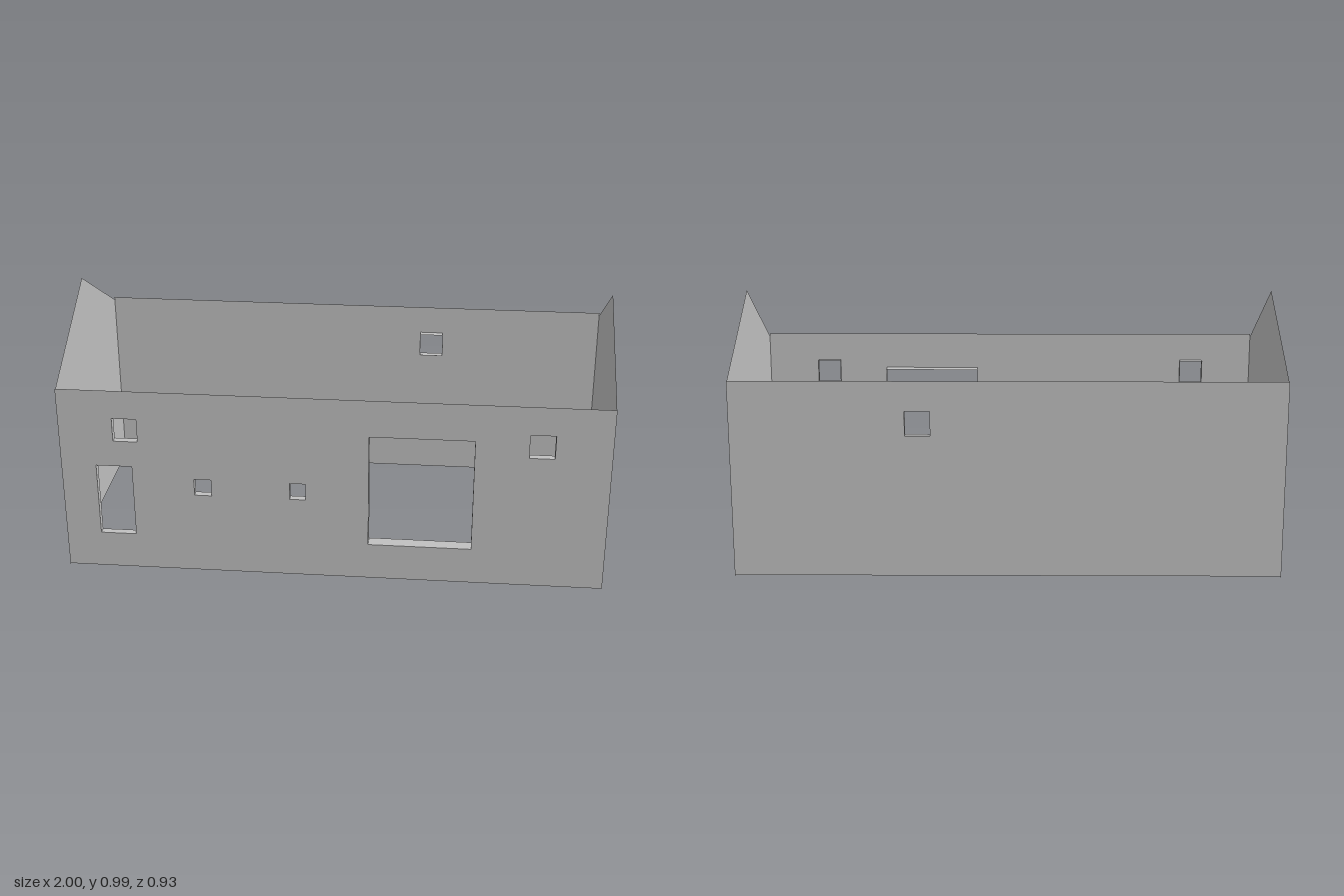
import * as THREE from 'three';

const W = 1, D = 0.463;            // half length, half depth
const BASE = 0.005, TOP = 0.733;   // long walls
const EAVE = 0.722, RIDGE = 0.986; // gable ends

// Openings: [name, x0, x1, y0, y1, reveal depth]
const FRONT = [
  ['rightUpperWindow', -0.80, -0.71, 0.532, 0.623, 0.028],
  ['doorOpening', -0.87, -0.737, 0.147, 0.43, 0.028],
  ['outerSmallWindow', -0.508, -0.444, 0.323, 0.388, 0.028],
  ['innerSmallWindow', -0.155, -0.096, 0.323, 0.388, 0.028],
  ['largeOpening', 0.134, 0.513, 0.147, 0.59, 0.05],
  ['leftUpperWindow', 0.706, 0.797, 0.532, 0.623, 0.028],
];
const BACK = [['backWindow', 0.278, 0.369, 0.532, 0.623, 0.028]];

const rectPoints = (x0, x1, y0, y1) => [[x0, y0], [x1, y0], [x1, y1], [x0, y1]]
  .map(([x, y]) => new THREE.Vector2(x, y));

export function createModel() {
  const model = new THREE.Group();
  model.name = 'houseShell';
  const plaster = new THREE.MeshStandardMaterial({ color: 0xc0c0c0, side: THREE.DoubleSide });
  plaster.name = 'plasterGrey';

  const add = (parent, name, geometry) => {
    const mesh = new THREE.Mesh(geometry, plaster);
    mesh.name = name;
    parent.add(mesh);
    return mesh;
  };

  // Long wall: a thin sheet with holes, each lined by reveals facing inward
  const longWall = (name, openings, side) => {
    const wall = new THREE.Group();
    wall.name = name;
    const shape = new THREE.Shape(rectPoints(-W, W, BASE, TOP));
    for (const [, x0, x1, y0, y1] of openings) {
      shape.holes.push(new THREE.Path(rectPoints(x0, x1, y0, y1)));
    }
    const geometry = new THREE.ShapeGeometry(shape);
    if (side < 0) geometry.scale(1, 1, -1).index.array.reverse();
    if (side < 0) geometry.computeVertexNormals();
    add(wall, name + 'Sheet', geometry).position.z = side * D;

    for (const [label, x0, x1, y0, y1, depth] of openings) {
      const w = x1 - x0, h = y1 - y0;
      const frame = new THREE.Group();
      frame.name = label;
      frame.position.set((x0 + x1) / 2, (y0 + y1) / 2, side * (D - depth / 2));
      for (const s of [-1, 1]) {
        const jamb = add(frame, 'jamb', new THREE.PlaneGeometry(depth, h));
        jamb.position.x = s * w / 2;
        jamb.rotation.y = -s * Math.PI / 2;
        const ledge = add(frame, s < 0 ? 'sill' : 'lintel', new THREE.PlaneGeometry(w, depth));
        ledge.position.y = s * h / 2;
        ledge.rotation.x = s * Math.PI / 2;
      }
      wall.add(frame);
    }
    model.add(wall);
  };
  longWall('frontWall', FRONT, 1);
  longWall('backWall', BACK, -1);

  // Gable ends
  const gable = new THREE.Shape([[-D, 0], [D, 0], [D, EAVE], [0, RIDGE], [-D, EAVE]]
    .map(([x, y]) => new THREE.Vector2(x, y)));
  for (const s of [-1, 1]) {
    const end = add(model, s > 0 ? 'leftGable' : 'rightGable', new THREE.ShapeGeometry(gable));
    end.rotation.y = s * Math.PI / 2;
    end.position.x = s * W;
  }
  return model;
}
